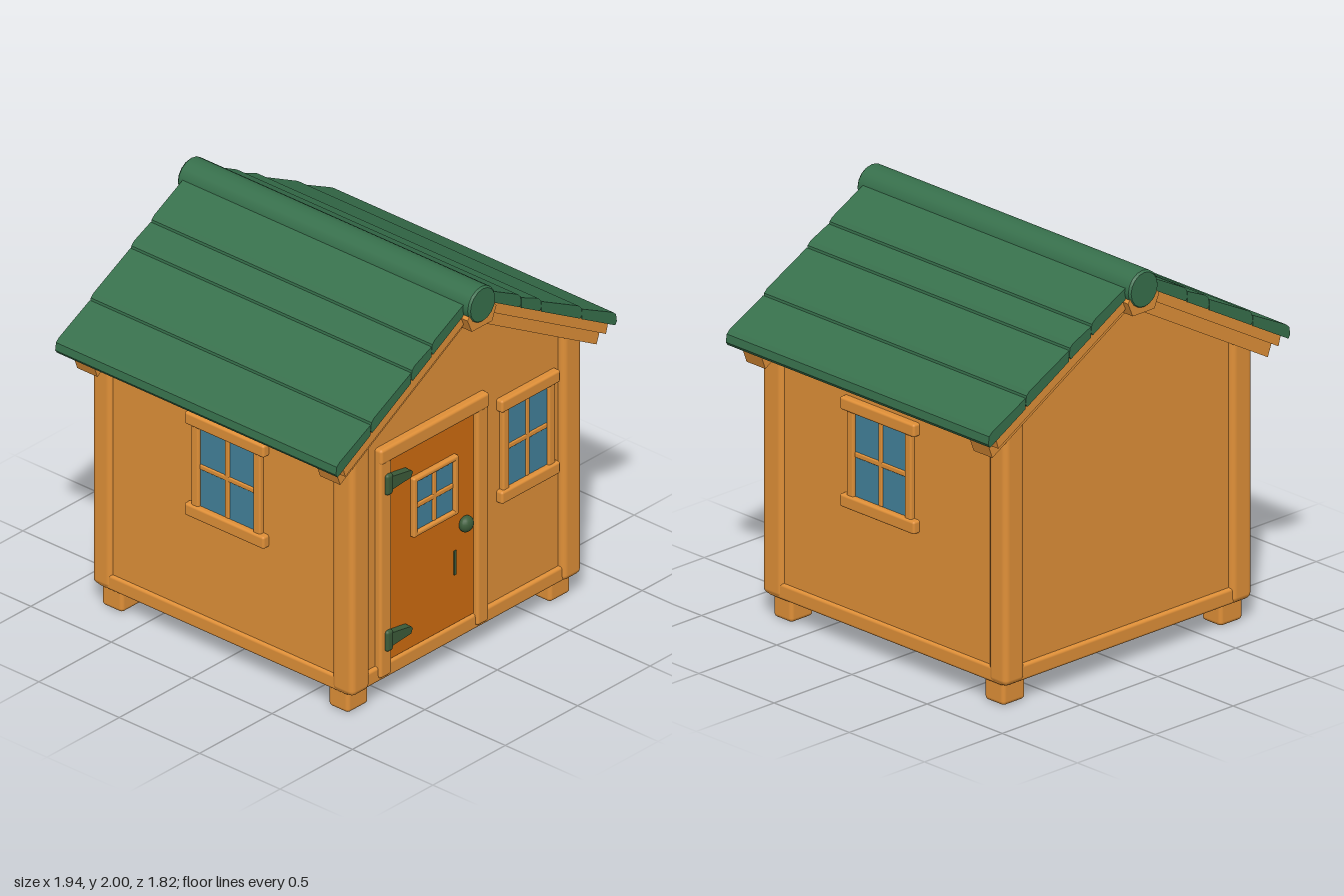
import * as THREE from 'three';
import { RoundedBoxGeometry } from 'three/addons/geometries/RoundedBoxGeometry.js';

const mat = (name, color) => {
  const m = new THREE.MeshStandardMaterial({ color });
  m.name = name;
  return m;
};

export function createModel() {
  const house = new THREE.Group();
  house.name = 'playhouse';
  const wood = mat('orange wood', 0xe09038);
  const doorWood = mat('dark orange door', 0xd06c10);
  const green = mat('green roof', 0x37704c);
  const iron = mat('dark green metal', 0x3c5c3a);
  const glass = mat('blue glass', 0x43829b);

  const add = (name, geo, material, parent = house) => {
    const mesh = new THREE.Mesh(geo, material);
    mesh.name = name;
    parent.add(mesh);
    return mesh;
  };
  // Soft-edged box given by its min and max corners
  const block = (name, [x0, x1], [y0, y1], [z0, z1], material = wood, parent = house, r = 0.015) => {
    const s = [x1 - x0, y1 - y0, z1 - z0];
    const geo = new RoundedBoxGeometry(...s, 2, Math.min(r, Math.min(...s) * 0.45));
    const mesh = add(name, geo, material, parent);
    mesh.position.set((x0 + x1) / 2, (y0 + y1) / 2, (z0 + z1) / 2);
    return mesh;
  };
  // Outline in x, y extruded from z0 to z1
  const prism = (name, pts, z0, z1, material) => {
    const shape = new THREE.Shape(pts.map(([x, y]) => new THREE.Vector2(x, y)));
    const geo = new THREE.ExtrudeGeometry(shape, { depth: z1 - z0, bevelEnabled: false });
    geo.translate(0, 0, z0);
    return add(name, geo, material);
  };

  // Walls and floor as one solid gabled body
  prism('walls', [[-0.775, 0.13], [0.775, 0.13], [0.775, 1.44], [0, 1.87], [-0.775, 1.44]], -0.78, 0.78, wood);

  // Base beams, corner posts and feet
  for (const s of [-1, 1]) {
    const span = (a, b) => (s > 0 ? [a, b] : [-b, -a]);
    block('baseBeam', [-0.77, 0.77], [0.11, 0.19], span(0.7, 0.8));
    block('sideBaseBeam', span(0.7, 0.79), [0.11, 0.19], [-0.78, 0.78]);
    for (const t of [-1, 1]) {
      const zSpan = t > 0 ? [0.68, 0.815] : [-0.81, -0.69];
      block('cornerPost', span(0.665, 0.795), [0.11, 1.44], zSpan, wood, house, 0.03);
      block('foot', span(0.625, 0.77), [0, 0.16], t > 0 ? [0.64, 0.765] : [-0.77, -0.64], wood, house, 0.02);
    }
  }

  // Roof: each side follows the same slope, parts hang at a vertical offset
  const roofY = (x) => 1.98 - 0.567 * x;
  for (const s of [-1, 1]) {
    const side = (pts) => pts.map(([x, y]) => [s * x, y]);
    const edges = [0, 0.31, 0.45, 0.73, 0.97];
    for (let i = 0; i < 4; i++) {
      const a = edges[i], b = edges[i + 1];
      prism('roofPlank', side([[a, roofY(a) - 0.06], [b - 0.012, roofY(b) - 0.052],
        [b, roofY(b) - 0.035], [b - 0.006, roofY(b) + 0.004], [b - 0.025, roofY(b - 0.025) + 0.008],
        [a, roofY(a) - 0.006]]), -0.876, 0.87, green);
    }
    prism('roofBoard', side([[0, roofY(0) - 0.055], [0, roofY(0) - 0.115],
      [0.9, roofY(0.9) - 0.115], [0.915, roofY(0.915) - 0.055]]), -0.87, 0.865, wood);
    // Deep rafters at both gables
    for (const z of [-0.815, 0.695]) {
      prism('rafter', side([[0, roofY(0) - 0.06], [0, roofY(0) - 0.19],
        [0.885, roofY(0.885) - 0.19], [0.92, roofY(0.92) - 0.075]]), z, z + 0.125, wood);
    }
  }
  const ridge = add('ridgeLog', new THREE.CylinderGeometry(0.094, 0.094, 1.8, 16), green);
  ridge.rotation.x = Math.PI / 2;
  ridge.position.y = 1.906;
  for (const z of [-0.89, 0.89]) {
    prism('ridgeBlock', [[-0.07, 1.79], [0.07, 1.79], [0.1, 1.86], [0.06, 1.91], [-0.06, 1.91], [-0.1, 1.86]],
      z < 0 ? -0.905 : 0.68, z < 0 ? -0.68 : 0.905, wood);
  }
  for (const z of [-0.905, 0.905]) {
    const cap = add('ridgeEnd', new THREE.CylinderGeometry(0.085, 0.094, 0.01, 16), green);
    cap.rotation.x = Math.sign(z) * Math.PI / 2;
    cap.position.set(0, 1.906, z);
  }

  // Four-pane window centred at its origin, facing +z
  const makeWindow = (name, w, h, bar, depth, sill) => {
    const g = new THREE.Group();
    g.name = name;
    const x = w / 2, y = h / 2;
    add('glass', new THREE.BoxGeometry(w, h, 0.008), glass, g).position.z = 0.006;
    for (const s of [-1, 1]) {
      const span = (a, b) => (s > 0 ? [a, b] : [-b, -a]);
      block('frameSide', span(x, x + bar), [-y - bar, y + bar], [-0.01, depth], wood, g, 0.01);
      block(sill ? 'sill' : 'frameRail', [-x - bar - sill, x + bar + sill], span(y, y + bar + (sill ? 0.02 : 0)),
        [-0.01, depth + (sill ? 0.012 : 0)], wood, g, 0.012);
    }
    block('mullion', [-0.014, 0.014], [-y, y], [0, depth * 0.65], wood, g, 0.008);
    block('crossbar', [-x, x], [-0.014, 0.014], [0, depth * 0.65], wood, g, 0.008);
    house.add(g);
    return g;
  };
  makeWindow('frontWindow', 0.27, 0.42, 0.045, 0.025, 0.022).position.set(0.44, 0.98, 0.78);
  for (const s of [-1, 1]) {
    const win = makeWindow('sideWindow', 0.34, 0.42, 0.045, 0.026, 0.033);
    win.position.set(s * 0.775, 0.98, 0.03);
    win.rotation.y = s * Math.PI / 2;
  }

  // Door with frame and small window
  block('doorPanel', [-0.53, 0.08], [0.19, 1.275], [0.75, 0.788], doorWood, house, 0.004);
  block('doorJamb', [-0.6, -0.52], [0.13, 1.3], [0.75, 0.815]);
  block('doorJamb', [0.07, 0.15], [0.13, 1.3], [0.75, 0.815]);
  block('lintel', [-0.6, 0.15], [1.265, 1.345], [0.75, 0.82]);
  makeWindow('doorWindow', 0.255, 0.26, 0.028, 0.026, 0).position.set(-0.21, 0.938, 0.787);

  // Door hardware
  for (const y of [1.15, 0.32]) {
    block('hingePlate', [-0.57, -0.525], [y - 0.055, y + 0.055], [0.79, 0.832], iron);
    prism('hingeStrap', [[-0.53, y - 0.035], [-0.4, y - 0.024], [-0.388, y], [-0.4, y + 0.014], [-0.53, y + 0.035]],
      0.785, 0.825, iron);
  }
  const knob = add('doorKnob', new THREE.SphereGeometry(0.041, 16, 12), iron);
  knob.scale.z = 0.75;
  knob.position.set(0.005, 0.7, 0.803);
  block('doorSlot', [-0.066, -0.05], [0.45, 0.58], [0.786, 0.793], iron, house, 0.003);

  return house;
}
